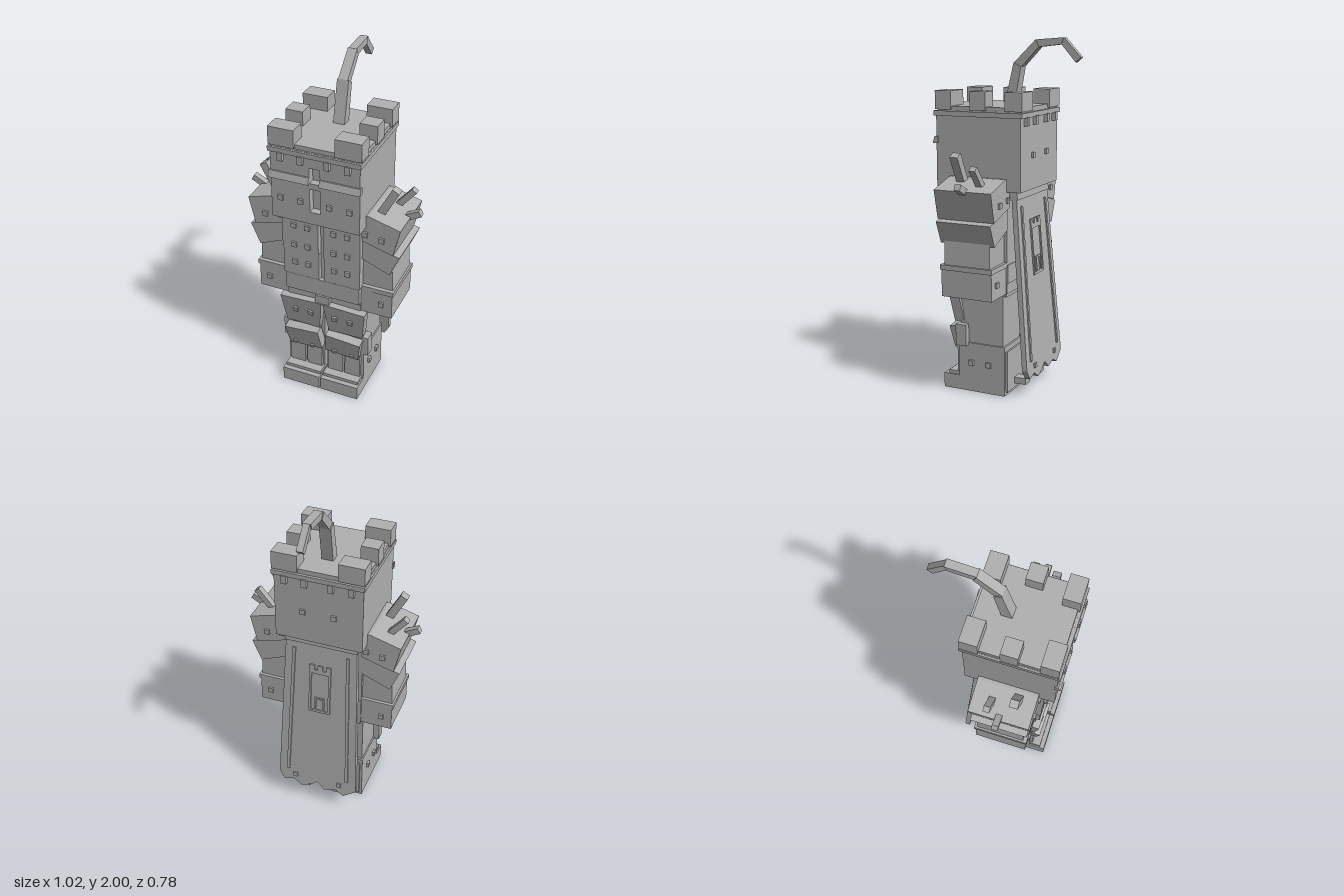
import * as THREE from 'three';

export function createModel() {
  const model = new THREE.Group();
  const stone = new THREE.MeshStandardMaterial({ color: 0xb0b0b0 });
  stone.name = 'stone grey';

  function add(name, geometry, parent = model) {
    const mesh = new THREE.Mesh(geometry, stone);
    mesh.name = name;
    parent.add(mesh);
    return mesh;
  }
  // Box given by its extents
  function box(name, x0, x1, y0, y1, z0, z1, parent) {
    const mesh = add(name, new THREE.BoxGeometry(Math.abs(x1 - x0), y1 - y0, z1 - z0), parent);
    mesh.position.set((x0 + x1) / 2, (y0 + y1) / 2, (z0 + z1) / 2);
    return mesh;
  }
  // Outline in x and y, extruded from z0 to z1
  function prism(name, points, z0, z1, parent, holes = []) {
    const shape = new THREE.Shape(points.map(p => new THREE.Vector2(...p)));
    for (const h of holes) shape.holes.push(new THREE.Path(h.map(p => new THREE.Vector2(...p))));
    const g = new THREE.ExtrudeGeometry(shape, { depth: z1 - z0, bevelEnabled: false });
    return add(name, g.translate(0, 0, z0), parent);
  }
  const rect = (x0, x1, y0, y1) => [[x0, y0], [x1, y0], [x1, y1], [x0, y1]];
  // Small square rivet centred on a surface facing z
  const stud = (x, y, z, parent) =>
    box('stud', x - 0.015, x + 0.015, y - 0.015, y + 0.015, z - 0.015, z + 0.012, parent);
  // Square bar between two points
  function bar(name, a, b, w, t, parent) {
    const p = new THREE.Vector3(...a), q = new THREE.Vector3(...b);
    const mesh = add(name, new THREE.BoxGeometry(w, p.distanceTo(q), t), parent);
    mesh.position.copy(p).add(q).multiplyScalar(0.5);
    mesh.quaternion.setFromUnitVectors(new THREE.Vector3(0, 1, 0), q.sub(p).normalize());
    return mesh;
  }
  function group(name) {
    const g = new THREE.Group();
    g.name = name;
    model.add(g);
    return g;
  }

  // Tower-shaped helmet with recessed eye slits
  const head = group('helmet');
  box('helmetCore', -0.254, 0.254, 1.18, 1.61, -0.143, 0.325, head);
  prism('helmetFace', rect(-0.254, 0.254, 1.18, 1.61), 0.325, 0.368, head,
    [rect(-0.03, 0.03, 1.255, 1.395), rect(-0.03, 0.03, 1.43, 1.52)]);
  box('helmetRim', -0.263, 0.263, 1.58, 1.608, -0.158, 0.38, head);
  box('helmetRoof', -0.25, 0.25, 1.605, 1.635, -0.143, 0.358, head);
  for (const s of [-1, 1]) {
    for (const [z0, z1, inner] of [[-0.155, -0.055, 0.115], [0.062, 0.157, 0.162], [0.272, 0.37, 0.115]])
      box('merlon', s * inner, s * 0.262, 1.615, 1.718, z0, z1, head);
    for (const x of [0.075, 0.19]) {
      box('frontCorbel', s * x - 0.015, s * x + 0.015, 1.537, 1.585, 0.36, 0.388, head);
      box('backCorbel', s * x - 0.015, s * x + 0.015, 1.537, 1.585, -0.165, -0.14, head);
      stud(s * (x + 0.008), 1.31, 0.368, head);
    }
    box('backStud', s * 0.09 - 0.015, s * 0.09 + 0.015, 1.355, 1.385, -0.154, -0.14, head);
    // Sloped brow ridge
    const ridge = box('browRidge', s * 0.03, s * 0.262, 1.428, 1.466, 0.355, 0.388, head);
    const pos = ridge.geometry.attributes.position;
    for (let i = 0; i < pos.count; i++)
      if (pos.getY(i) > 0 && pos.getZ(i) > 0) pos.setZ(i, pos.getZ(i) - 0.012);
    ridge.geometry.computeVertexNormals();
  }

  // Curved plume from tapering bent segments
  const plume = group('plume');
  const path = [[0.028, 1.62], [-0.022, 1.855], [-0.138, 1.972], [-0.285, 1.985], [-0.375, 1.885]];
  const sizes = [[0.066, 0.06], [0.054, 0.05], [0.046, 0.044], [0.036, 0.04]];
  // Cross-sections meet in mitred joints
  for (let i = 0; i < 4; i++) {
    const [z0, y0] = path[i], [z1, y1] = path[i + 1];
    const mitre = k => {
      const a = path[Math.max(k - 1, 0)], b = path[k], c = path[Math.min(k + 1, 4)];
      const d1 = Math.atan2(b[1] - a[1], b[0] - a[0]), d2 = Math.atan2(c[1] - b[1], c[0] - b[0]);
      const turn = k === 0 ? d2 : k === 4 ? d1
        : Math.atan2(Math.sin(d1) + Math.sin(d2), Math.cos(d1) + Math.cos(d2));
      return [-Math.sin(turn), Math.cos(turn)];
    };
    const [w, t] = sizes[i], t1 = sizes[Math.min(i + 1, 3)][1];
    const n0 = mitre(i), n1 = mitre(i + 1);
    const outline = [
      [z0 + n0[0] * t / 2, y0 + n0[1] * t / 2], [z1 + n1[0] * t1 / 2, y1 + n1[1] * t1 / 2],
      [z1 - n1[0] * t1 / 2, y1 - n1[1] * t1 / 2], [z0 - n0[0] * t / 2, y0 - n0[1] * t / 2]];
    const seg = prism('plumeSegment', outline.map(([z, y]) => [-z, y]), -w / 2, w / 2, plume);
    seg.rotation.y = Math.PI / 2;
  }

  // Torso, chest plates and belt
  const torso = group('torso');
  box('torsoCore', -0.225, 0.225, 0.6, 1.19, -0.05, 0.27, torso);
  box('belt', -0.225, 0.225, 0.66, 0.765, -0.055, 0.295, torso);
  box('hips', -0.22, 0.22, 0.58, 0.66, -0.045, 0.26, torso);
  box('buckle', -0.043, 0.043, 0.595, 0.655, 0.24, 0.3, torso);
  for (const s of [-1, 1]) {
    box('upperChestPlate', s * 0.015, s * 0.232, 0.94, 1.185, 0.25, 0.305, torso);
    box('lowerChestPlate', s * 0.015, s * 0.23, 0.77, 0.937, 0.25, 0.3, torso);
    for (const x of [0.078, 0.158])
      for (const y of [0.86, 0.98, 1.105]) stud(s * x, y, y < 0.9 ? 0.3 : 0.305, torso);
  }

  for (const s of [-1, 1]) {
    const side = s > 0 ? 'left' : 'right';
    const flip = pts => pts.map(([x, y]) => [s * x, y]);

    // Arm with layered shoulder guards
    const arm = group(side + 'Arm');
    prism('shoulderGuard', flip([[0.22, 1.25], [0.27, 1.25], [0.448, 1.2], [0.41, 1.035], [0.22, 1.09]]), -0.062, 0.28, arm);
    prism('upperArmGuard', flip([[0.22, 1.09], [0.445, 1.025], [0.392, 0.9], [0.22, 0.97]]), -0.055, 0.272, arm);
    prism('forearm', flip([[0.22, 0.77], [0.405, 0.77], [0.395, 0.96], [0.22, 1.0]]), -0.03, 0.245, arm);
    box('gauntlet', s * 0.19, s * 0.408, 0.6, 0.765, -0.043, 0.262, arm);
    box('cuff', s * 0.2, s * 0.416, 0.752, 0.78, -0.048, 0.268, arm);
    for (const [x, y, front, back] of [[0.345, 1.12, 0.28, -0.062], [0.25, 1.135, 0.28, -0.062], [0.345, 0.68, 0.262, -0.043]]) {
      stud(s * x, y, front, arm);
      stud(s * x, y, back + 0.003, arm);
    }
    // Shoulder spikes
    bar('longSpike', [s * 0.3, 1.22, 0.18], [s * 0.388, 1.385, 0.18], 0.045, 0.048, arm);
    bar('middleSpike', [s * 0.345, 1.21, 0.045], [s * 0.442, 1.325, 0.045], 0.034, 0.037, arm);
    bar('shortSpike', [s * 0.41, 1.185, 0.108], [s * 0.5, 1.232, 0.108], 0.036, 0.036, arm);

    // Leg
    const leg = group(side + 'Leg');
    box('thigh', s * 0.01, s * 0.232, 0.28, 0.62, -0.028, 0.24, leg);
    box('shin', s * 0.008, s * 0.24, 0, 0.29, -0.04, 0.25, leg);
    box('foot', s * 0.004, s * 0.24, 0, 0.085, 0.2, 0.348, leg);
    box('toeCap', s * 0.008, s * 0.232, 0.08, 0.105, 0.2, 0.32, leg);
    box('heelSpur', s * 0.07, s * 0.13, 0.045, 0.082, -0.12, -0.03, leg);
    box('heelPlate', s * 0.02, s * 0.225, 0.02, 0.26, -0.05, -0.035, leg);
    for (const x of [0.02, 0.128]) box('shinPad', s * x, s * (x + 0.095), 0.1, 0.26, 0.24, 0.268, leg);
    for (const z of [0.06, 0.17]) box('ankleStud', s * 0.23, s * 0.254, 0.158, 0.188, z - 0.015, z + 0.015, leg);
    box('kneeWing', s * 0.21, s * 0.268, 0.275, 0.4, 0.19, 0.255, leg);

    // Thigh and knee plates leaning out at the top
    const tasset = prism('thighPlate', flip([[0.005, 0.6], [0.262, 0.59], [0.238, 0.4], [0.028, 0.395]]), -0.06, 0, leg);
    tasset.position.set(0, -0.09, 0.326);
    tasset.position.set(0, 0, 0.21);
    tasset.rotation.x = 0.16;
    tasset.position.y = 0.012;
    for (const x of [0.075, 0.17]) stud(s * x, 0.51, 0, tasset);
    const knee = prism('kneePlate', flip([[0.025, 0.385], [0.238, 0.365], [0.218, 0.235], [0.01, 0.25]]), -0.055, 0, leg);
    knee.position.set(0, 0.015, 0.238);
    knee.rotation.x = 0.2;
    for (const x of [0.07, 0.18]) box('kneeStud', s * x - 0.012, s * x + 0.012, 0.25, 0.27, -0.01, 0.01, knee);
  }

  // Leaning cape with a ragged hem
  const cape = group('cape');
  cape.position.set(0, 1.18, -0.083);
  cape.rotation.x = 0.083;
  prism('capePanel', [[-0.21, 0], [0.21, 0], [0.247, -1.01], [0.215, -1.065], [0.15, -1.05], [0.1, -1.085],
    [0.04, -1.06], [0, -1.03], [-0.05, -1.075], [-0.12, -1.055], [-0.17, -1.085], [-0.247, -1.03]], -0.015, 0.015, cape);
  box('capeCollar', -0.215, 0.215, -0.05, 0.01, -0.022, 0.025, cape);
  for (const s of [-1, 1]) {
    bar('capeTrim', [s * 0.16, -0.09, -0.016], [s * 0.188, -0.97, -0.016], 0.018, 0.014, cape);
    box('hemStud', s * 0.14 - 0.013, s * 0.14 + 0.013, -1.02, -0.994, -0.025, -0.01, cape);
  }
  // Raised tower outline with a doorway
  const relief = [[-0.065, -0.5], [0.065, -0.5], [0.065, -0.18], [0.035, -0.18], [0.035, -0.21], [0.015, -0.21],
    [0.015, -0.18], [-0.015, -0.18], [-0.015, -0.21], [-0.035, -0.21], [-0.035, -0.18], [-0.065, -0.18]];
  prism('towerRelief', relief, -0.023, -0.012, cape, [rect(-0.052, 0.052, -0.487, -0.235)]);
  prism('doorRelief', rect(-0.03, 0.03, -0.495, -0.4), -0.023, -0.012, cape, [rect(-0.02, 0.02, -0.485, -0.41)]);

  return model;
}
